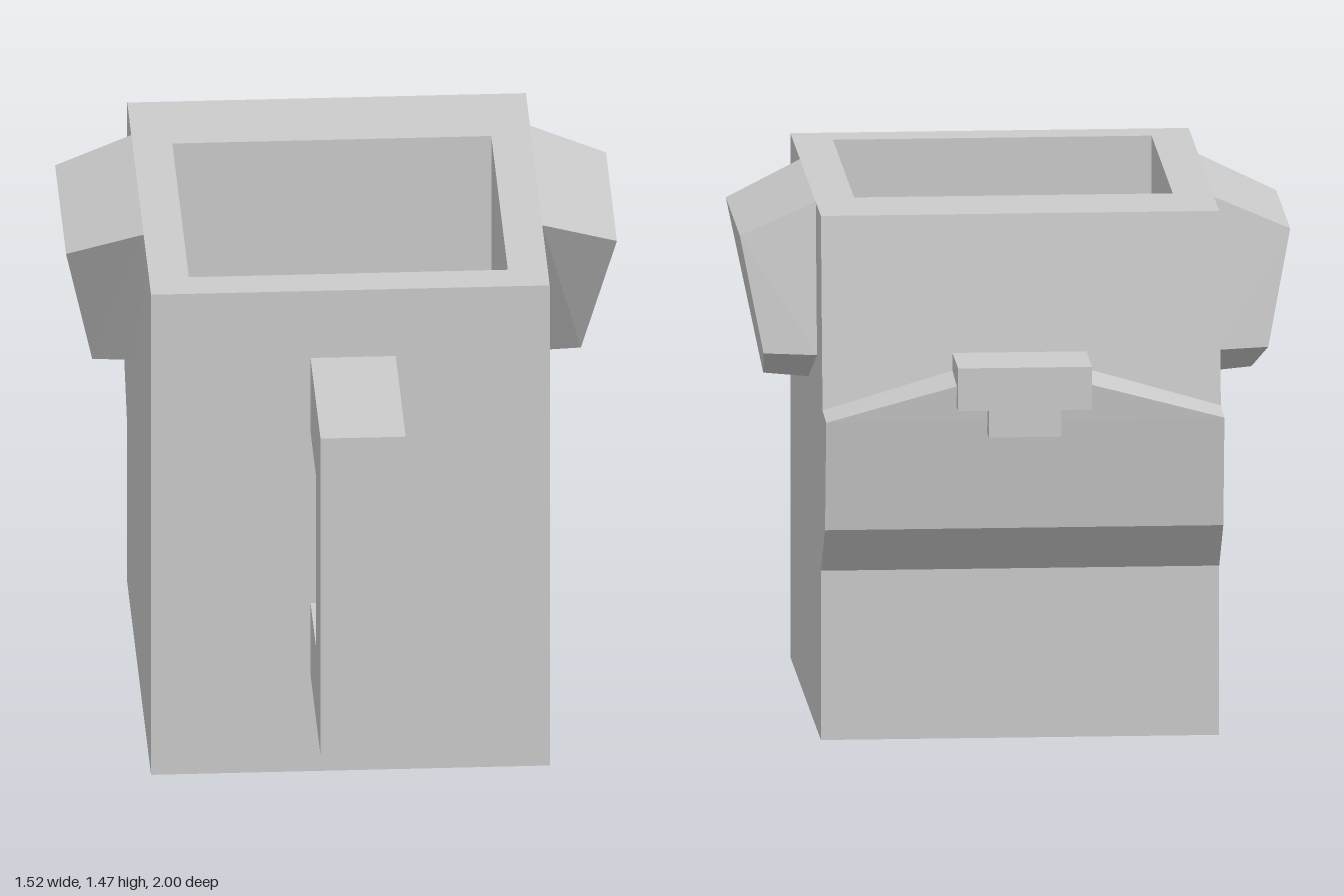
import * as THREE from 'three';
import { ConvexGeometry } from 'three/addons/geometries/ConvexGeometry.js';

const material = new THREE.MeshStandardMaterial({ color: 0xcccccc, flatShading: true });
const CX = -0.005; // body axis
const HALF = 0.55; // half the body width
const TOP = 1.47;

function part(name, geometry, parent) {
  const mesh = new THREE.Mesh(geometry, material);
  mesh.name = name;
  parent.add(mesh);
  return mesh;
}

function polygon(points, Type = THREE.Shape) {
  return new Type(points.map(([x, y]) => new THREE.Vector2(x, y)));
}

// Rectangle in plan; the shape's y axis is -z
function planRect(x0, x1, z0, z1, Type) {
  return polygon([[x0, -z1], [x1, -z1], [x1, -z0], [x0, -z0]], Type);
}

// Solid standing on a plan shape between two heights
function standing(shape, y0, y1) {
  return new THREE.ExtrudeGeometry(shape, { depth: y1 - y0, bevelEnabled: false })
    .rotateX(-Math.PI / 2)
    .translate(0, y0, 0);
}

// Side profile of [z, y] points, extruded across x
function acrossX(points, x0, x1) {
  const shape = polygon(points.map(([z, y]) => [-z, y]));
  return new THREE.ExtrudeGeometry(shape, { depth: x1 - x0, bevelEnabled: false })
    .rotateY(Math.PI / 2)
    .translate(x0, 0, 0);
}

function box(x0, x1, y0, y1, z0, z1) {
  return new THREE.BoxGeometry(x1 - x0, y1 - y0, z1 - z0)
    .translate((x0 + x1) / 2, (y0 + y1) / 2, (z0 + z1) / 2);
}

function hull(points) {
  return new ConvexGeometry(points.map((p) => new THREE.Vector3(...p)));
}

export function createModel() {
  const model = new THREE.Group();
  model.name = 'animalMug';

  // Square cup: solid base, then walls around the cavity
  const cup = new THREE.Group();
  cup.name = 'cup';
  model.add(cup);
  const floor = 0.11;
  const left = CX - HALF, right = CX + HALF;
  part('cupBase', standing(planRect(left, right, -0.725, 0.49), 0, floor), cup);
  const walls = planRect(left, right, -0.725, 0.49);
  walls.holes.push(planRect(-0.445, 0.435, -0.46, 0.385, THREE.Path));
  part('cupWalls', standing(walls, floor, TOP), cup);

  // Sloping forehead
  part('forehead', acrossX([[-0.725, TOP], [-0.725, 0.9], [-0.795, 0.9]], left, right), model);

  // Muzzle, its top rising from the sides to the nose
  const muzzle = [];
  for (const s of [-1, 1]) {
    const side = CX + s * HALF, mid = s * 0.185;
    muzzle.push(
      [side, 0.475, -0.725], [side, 0.62, -0.89], [side, 0.93, -0.935],
      [side, 0.94, -0.725], [mid, 1.03, -0.947], [mid, 1.045, -0.725],
    );
  }
  part('muzzle', hull(muzzle), model);

  // Nose with a narrower tip below
  const nose = new THREE.Group();
  nose.name = 'nose';
  model.add(nose);
  part('noseBridge', box(-0.185, 0.185, 0.97, 1.09, -1, -0.76), nose);
  part('noseTip', box(-0.1, 0.1, 0.895, 0.97, -1, -0.9), nose);

  // Floppy ears, mirrored about the cup axis
  for (const s of [-1, 1]) {
    const ear = [
      [0.55, TOP, 0.11], [0.55, TOP, -0.52], [0.55, 1.05, -0.57], [0.55, 0.925, -0.225],
      [0.76, 1.38, 0.035], [0.76, 1.38, -0.525], [0.697, 1.055, -0.56], [0.674, 0.935, -0.215],
    ].map(([x, y, z]) => [CX + s * x, y, z]);
    part(s > 0 ? 'leftEar' : 'rightEar', hull(ear), model);
  }

  // Square handle
  part('handle', acrossX([
    [0.49, 0.295], [1, 0.295], [1, 1.265], [0.49, 1.265],
    [0.49, 1.04], [0.765, 1.04], [0.765, 0.515], [0.49, 0.515],
  ], -0.115, 0.12), model);

  return model;
}
